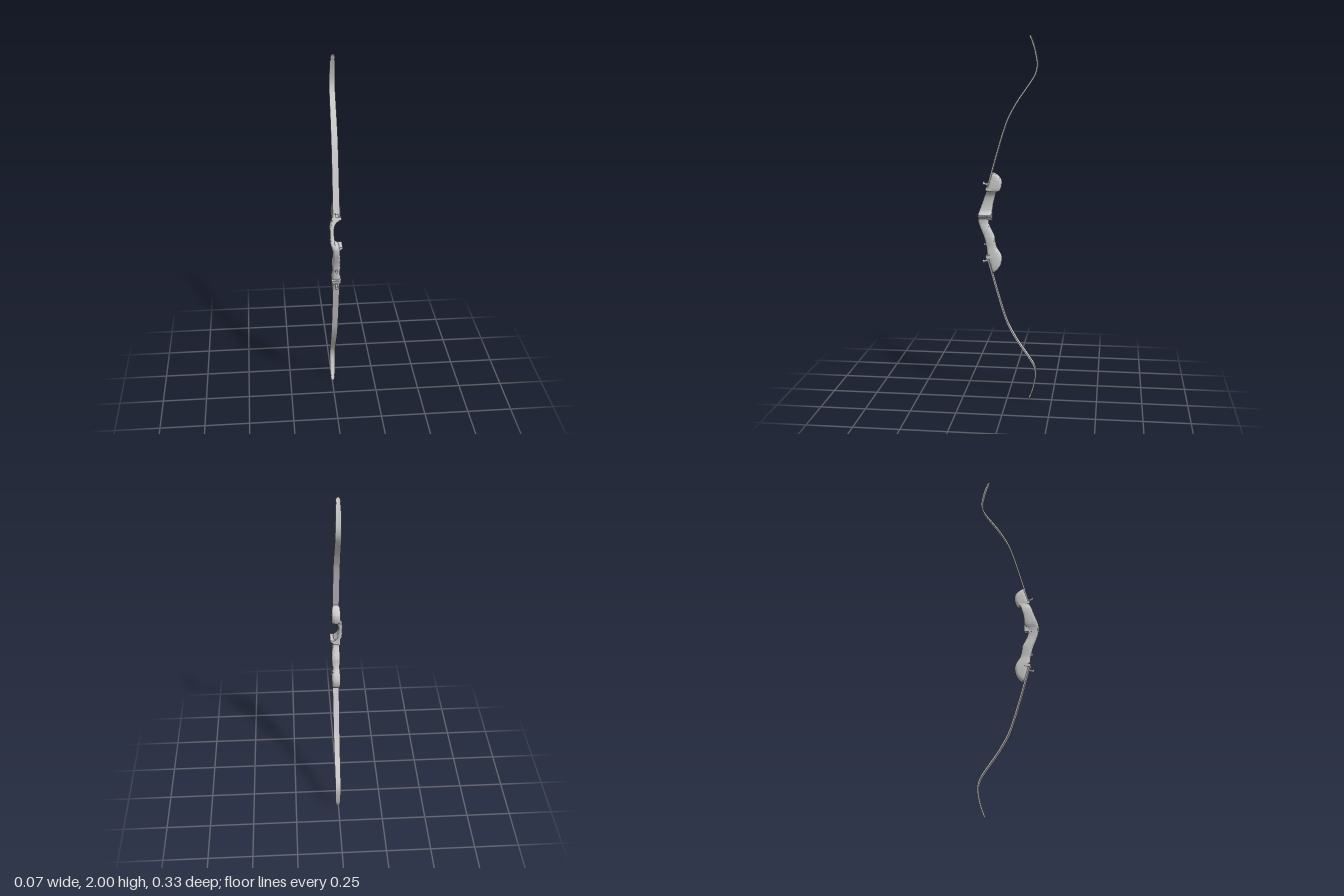
import * as THREE from 'three';
import { toCreasedNormals } from 'three/addons/utils/BufferGeometryUtils.js';

const material = new THREE.MeshStandardMaterial({ color: 0xcccccc });
const CX = 0.003; // centre line of limbs and pockets

function addMesh(parent, name, geometry) {
  const mesh = new THREE.Mesh(geometry, material);
  mesh.name = name;
  parent.add(mesh);
  return mesh;
}

// Skins a stack of rings (bottom to top) and caps both ends
function loft(rings, crease) {
  const n = rings[0].length, pos = [], idx = [];
  rings.forEach(r => r.forEach(p => pos.push(p.x, p.y, p.z)));
  for (let j = 0; j < rings.length - 1; j++) {
    for (let i = 0; i < n; i++) {
      const a = j * n + i, b = j * n + (i + 1) % n;
      idx.push(a, a + n, b, b, a + n, b + n);
    }
  }
  const last = (rings.length - 1) * n;
  for (let i = 1; i < n - 1; i++) {
    idx.push(0, i, i + 1);
    idx.push(last, last + i + 1, last + i);
  }
  const g = new THREE.BufferGeometry();
  g.setAttribute('position', new THREE.Float32BufferAttribute(pos, 3));
  g.setIndex(idx);
  return toCreasedNormals(g, crease);
}

// Rounded-box ring sections of the riser: y, xMin, xMax, zBack, zFront
function riserGeometry() {
  const rows = [
    [0.727, -0.012, 0.018, 0.068, 0.081], [0.74, -0.018, 0.024, 0.052, 0.084],
    [0.765, -0.021, 0.027, 0.035, 0.092], [0.80, -0.022, 0.028, 0.028, 0.102],
    [0.83, -0.021, 0.027, 0.035, 0.110], [0.865, -0.018, 0.024, 0.057, 0.114],
    [0.90, -0.021, 0.026, 0.066, 0.121], [0.93, -0.022, 0.026, 0.070, 0.130],
    [0.97, -0.019, 0.023, 0.090, 0.146], [1.00, -0.020, 0.019, 0.101, 0.157],
    [1.03, -0.025, 0.020, 0.095, 0.162], [1.045, -0.030, 0.012, 0.086, 0.161],
    [1.06, -0.033, -0.004, 0.083, 0.157], [1.10, -0.035, -0.010, 0.079, 0.142],
    [1.14, -0.033, -0.008, 0.069, 0.128], [1.165, -0.026, 0.005, 0.061, 0.118],
    [1.178, -0.021, 0.026, 0.040, 0.113], [1.20, -0.022, 0.028, 0.031, 0.106],
    [1.22, -0.022, 0.028, 0.028, 0.100], [1.24, -0.021, 0.027, 0.032, 0.092],
    [1.262, -0.018, 0.024, 0.050, 0.085], [1.275, -0.012, 0.018, 0.070, 0.081],
  ];
  const spline = (a, b) => new THREE.CatmullRomCurve3(
    rows.map(r => new THREE.Vector3(r[a], r[0], r[b])), false, 'catmullrom', 0.4);
  const low = spline(1, 3), high = spline(2, 4), steps = (rows.length - 1) * 4, rings = [];
  const soft = v => Math.sign(v) * Math.pow(Math.abs(v), 0.55);
  for (let j = 0; j <= steps; j++) {
    const p = low.getPoint(j / steps), q = high.getPoint(j / steps), ring = [];
    for (let i = 0; i < 32; i++) {
      const a = (i / 32) * Math.PI * 2;
      ring.push(new THREE.Vector3(
        (p.x + q.x) / 2 + soft(Math.cos(a)) * (q.x - p.x) / 2, p.y,
        (p.z + q.z) / 2 + soft(Math.sin(a)) * (q.z - p.z) / 2));
    }
    rings.push(ring);
  }
  return loft(rings, 0.7);
}

// Flat recurved limb with a string notch at its tip
function limbGeometry(side) {
  const path = new THREE.CatmullRomCurve3([
    [1.185, 0.108], [1.215, 0.100], [1.30, 0.077], [1.385, 0.053], [1.47, 0.028], [1.555, -0.001],
    [1.61, -0.028], [1.67, -0.064], [1.72, -0.099], [1.765, -0.130], [1.80, -0.150], [1.845, -0.160],
    [1.90, -0.153], [1.95, -0.140], [2.0, -0.121],
  ].map(([y, z]) => new THREE.Vector3(CX, y, z)));
  const widths = [[0, 0.0185], [0.5, 0.0175], [0.85, 0.015], [0.955, 0.0135], [0.962, 0.010],
    [0.97, 0.010], [0.976, 0.0125], [0.988, 0.011], [0.996, 0.007], [1, 0.003]];
  const stops = [];
  for (let i = 0; i < 56; i++) stops.push(i / 56 * 0.95);
  stops.push(...widths.slice(3).map(w => w[0]));
  const rings = stops.map(t => {
    const k = Math.max(1, widths.findIndex(w => w[0] >= t));
    const [t0, w0] = widths[k - 1], [t1, w1] = widths[k];
    const w = THREE.MathUtils.lerp(w0, w1, (t - t0) / (t1 - t0));
    const p = path.getPointAt(t), d = path.getTangentAt(t), h = 0.004;
    return [[1, 1], [-1, 1], [-1, -1], [1, -1]].map(([sx, sz]) => {
      const y = p.y - d.z * h * sz;
      return new THREE.Vector3(p.x + sx * w, side > 0 ? y : 2 - y, p.z + d.y * h * sz);
    });
  });
  return loft(side > 0 ? rings : rings.reverse(), 0.6);
}

// Limb bolt, pointing forward out of the limb face
function limbBolt(side) {
  const bolt = new THREE.Group();
  bolt.name = side > 0 ? 'upperLimbBolt' : 'lowerLimbBolt';
  const shank = addMesh(bolt, 'boltShank', new THREE.CylinderGeometry(0.006, 0.006, 0.034, 16));
  shank.position.y = 0.012;
  const washer = addMesh(bolt, 'boltWasher', new THREE.CylinderGeometry(0.010, 0.010, 0.005, 20));
  washer.position.y = 0.007;
  const head = addMesh(bolt, 'boltHead', new THREE.CylinderGeometry(0.010, 0.010, 0.007, 20));
  head.position.y = 0.028;
  bolt.position.set(CX, 1 + side * 0.208, 0.102);
  bolt.rotation.x = Math.PI / 2 - side * 0.27;
  return bolt;
}

export function createModel() {
  const bow = new THREE.Group();
  bow.name = 'recurveBow';
  addMesh(bow, 'riser', riserGeometry());

  // Arrow shelf, a wedge jutting out beside the sight window
  const wedge = new THREE.Shape();
  wedge.moveTo(-0.022, 1.01);
  wedge.lineTo(0.012, 1.015);
  wedge.quadraticCurveTo(0.024, 1.028, 0.034, 1.036);
  wedge.lineTo(0.033, 1.043);
  wedge.lineTo(0.008, 1.041);
  wedge.quadraticCurveTo(-0.004, 1.045, -0.008, 1.062);
  wedge.lineTo(-0.024, 1.062);
  const shelf = new THREE.ExtrudeGeometry(wedge, { depth: 0.072, bevelEnabled: false, curveSegments: 8 });
  addMesh(bow, 'arrowShelf', toCreasedNormals(shelf, 0.6)).position.z = 0.083;

  // Limbs with their pockets and bolts, above and below
  for (const side of [1, -1]) {
    const prefix = side > 0 ? 'upper' : 'lower';
    addMesh(bow, prefix + 'Limb', limbGeometry(side));
    const pocket = addMesh(bow, prefix + 'LimbPocket', new THREE.BoxGeometry(0.051, 0.018, 0.03));
    pocket.position.set(CX, 1 + side * 0.186, 0.1);
    pocket.rotation.x = -side * 0.27;
    bow.add(limbBolt(side));
  }

  // Threaded bushing on the front below the grip
  const bushing = addMesh(bow, 'frontBushing', new THREE.CylinderGeometry(0.008, 0.008, 0.02, 20));
  bushing.position.set(CX, 0.88, 0.117);
  bushing.rotation.x = Math.PI / 2;
  return bow;
}
